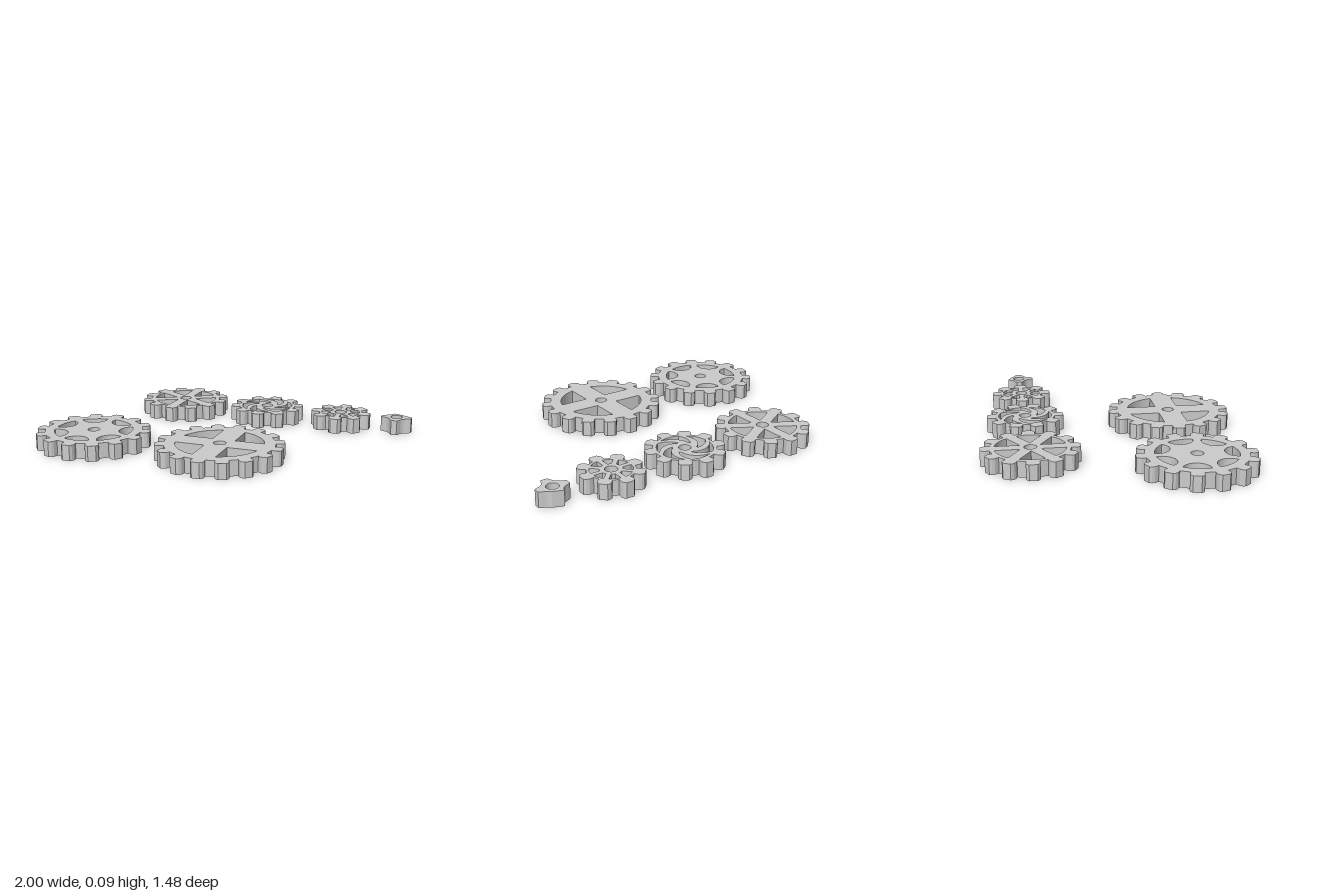
import * as THREE from 'three';

const H = 0.088, BORE = 0.035, TAU = Math.PI * 2;
const polar = (r, a) => new THREE.Vector2(r * Math.cos(a), r * Math.sin(a));

// Points along an arc about a centre
function arc(r, a0, a1, n, cx = 0, cy = 0) {
  return Array.from({ length: n + 1 }, (_, i) => {
    const p = polar(r, a0 + (a1 - a0) * i / n);
    return p.set(p.x + cx, p.y + cy);
  });
}

// Toothed rim; the tooth profile lists [depth below tip, half width] from root to tip
const TOOTH = [[0.05, 0.034], [0.024, 0.038], [0.01, 0.033], [0, 0.022]];
function rim(teeth, R) {
  const pts = [], step = TAU / teeth;
  for (let i = 0; i < teeth; i++) {
    const a = -Math.PI / 2 + i * step;
    const flank = (s) => TOOTH.map(([d, w]) => polar(R - d, a + s * Math.asin(w / (R - d))));
    pts.push(...flank(-1), ...flank(1).reverse());
    // root between two teeth
    pts.push(polar(R - 0.051, a + step / 2));
  }
  return pts;
}

// Window between two straight spokes of half width w
function spokeWindow(a, step, w, r0, r1) {
  const half = (r) => Math.max(0, step / 2 - Math.asin(w / r));
  const apex = w / Math.sin(step / 2);
  const outer = arc(r1, a - half(r1), a + half(r1), 10);
  if (r0 <= apex) return [...outer, polar(apex, a)];
  return [...outer, ...arc(r0, a + half(r0), a - half(r0), 3)];
}

// Window between two swept spokes
function sweptWindow(a, r0, r1) {
  const side = (s) => Array.from({ length: 9 }, (_, i) => {
    const t = i / 8, r = r1 + (r0 - r1) * t;
    return polar(r, a + 1.0 * t + s * (0.41 - 0.28 * t));
  });
  return [...arc(r1, a - 0.41, a + 0.41, 8).slice(0, -1), ...side(1), ...side(-1).reverse().slice(0, -1)];
}

// Scalloped window: a small disc on the rim circle, clipped by that circle
function scallopWindow(a, R, r) {
  const b = 2 * Math.asin(r / (2 * R)), c = polar(R, a), h = Math.PI / 2 + b / 2;
  return [...arc(R, a - b, a + b, 8).slice(0, -1),
    ...arc(r, a + h, a + TAU - h, 14, c.x, c.y).slice(0, -1)];
}

const ring = (n, start, make) =>
  Array.from({ length: n }, (_, i) => make(start + i * TAU / n, TAU / n));

// Small four-tooth pinion with one tooth cut off at a slant
function pinionOutline() {
  const pts = [];
  for (let i = 0; i < 4; i++) {
    const a = -Math.PI / 2 + i * Math.PI / 2;
    const put = (r, w) => pts.push(new THREE.Vector2(r, w).rotateAround(new THREE.Vector2(), a));
    if (i === 0) {
      put(0.055, -0.033);
      put(0.072, -0.027);
      put(0.051, 0.032);
    } else {
      for (const [r, w] of [[0.055, -0.033], [0.075, -0.025], [0.09, -0.017],
        [0.09, 0.017], [0.075, 0.025], [0.055, 0.033]]) put(r, w);
    }
    pts.push(polar(0.06, a + Math.PI / 4));
  }
  return pts;
}

export function createModel() {
  const group = new THREE.Group();
  const material = new THREE.MeshStandardMaterial({ color: 0xcccccc, flatShading: true });

  function addGear(name, x, z, outline, windows) {
    const shape = new THREE.Shape(outline);
    const bore = arc(BORE, 0, TAU, 24).slice(0, -1);
    shape.holes = [bore, ...windows].map((pts) => new THREE.Path(pts));
    const geometry = new THREE.ExtrudeGeometry(shape, { depth: H, bevelEnabled: false });
    geometry.rotateX(Math.PI / 2);
    const mesh = new THREE.Mesh(geometry, material);
    mesh.name = name;
    mesh.position.set(x, H, z);
    group.add(mesh);
  }

  const up = -Math.PI / 2;
  // Back row
  addGear('sixSpokeGear', -0.46, -0.475, rim(12, 0.27),
    ring(6, 0, (a, s) => spokeWindow(a, s, 0.032, 0.05, 0.194)));
  addGear('sweptSpokeGear', 0.095, -0.475, rim(10, 0.225),
    ring(6, up, (a) => sweptWindow(a, 0.068, 0.155)));
  addGear('eightSpokeGear', 0.567, -0.475, rim(8, 0.181),
    ring(8, Math.PI / 8, (a, s) => spokeWindow(a, s, 0.014, 0.062, 0.115)));
  addGear('pinion', 0.91, -0.475, pinionOutline(), []);
  // Front row
  addGear('scallopedGear', -0.674, 0.382, rim(14, 0.327),
    ring(7, -up, (a) => scallopWindow(a, 0.223, 0.075)));
  addGear('fourSpokeGear', 0.095, 0.382, rim(16, 0.358),
    ring(4, Math.PI / 4, (a, s) => spokeWindow(a, s, 0.066, 0.05, 0.245)));
  return group;
}
